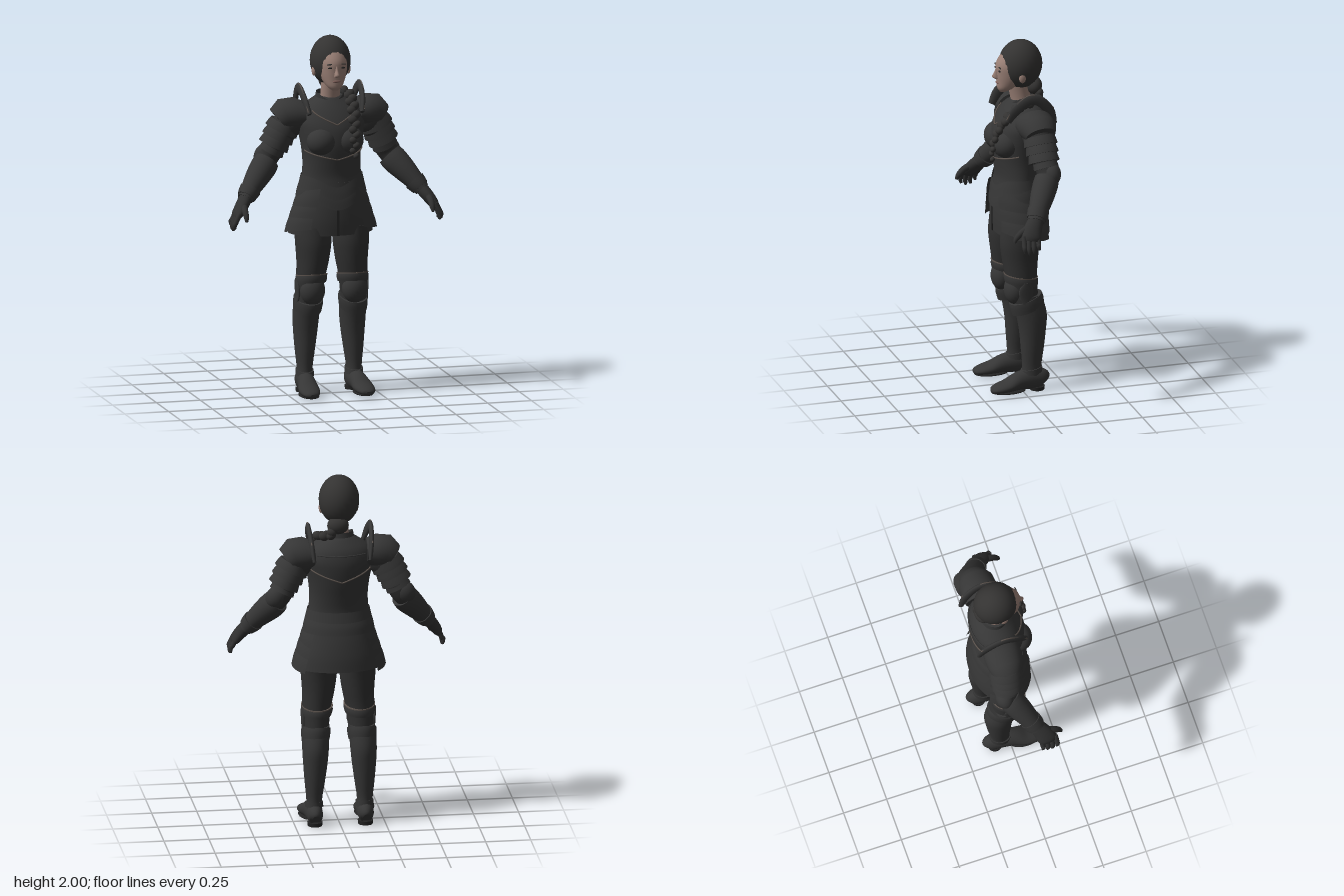
import * as THREE from 'three';

const V3 = (x, y, z) => new THREE.Vector3(x, y, z);
const X = V3(1, 0, 0), Y = V3(0, 1, 0), Z = V3(0, 0, 1);

// Catmull-Rom sampling of rows of numbers
function smoothRows(rows, sub) {
  if (sub < 2) return rows;
  const out = [], at = i => rows[Math.max(0, Math.min(rows.length - 1, i))];
  for (let i = 0; i < rows.length - 1; i++)
    for (let s = 0; s < sub; s++) {
      const t = s / sub;
      out.push(rows[i].map((b, k) => {
        const a = at(i - 1)[k], c = at(i + 1)[k], d = at(i + 2)[k];
        return b + 0.5 * t * (c - a + t * (2 * a - 5 * b + 4 * c - d + t * (3 * (b - c) + d - a)));
      }));
    }
  out.push(rows[rows.length - 1]);
  return out;
}

// Skin of elliptical rings [x, y, z, sideRadius, depthRadius]; angle 0 faces the ref direction
function loft(rows, { sub = 4, seg = 28, flat = false, ref = Z, a0 = 0, a1 = Math.PI * 2, warp = null, caps = true } = {}) {
  const R = smoothRows(rows, sub), full = a1 - a0 > 6.28, cols = full ? seg : seg + 1;
  const pos = [], idx = [], c = R.map(r => V3(r[0], r[1], r[2]));
  R.forEach((r, i) => {
    const T = flat ? Y : c[Math.min(i + 1, R.length - 1)].clone().sub(c[Math.max(i - 1, 0)]).normalize();
    const v = ref.clone().addScaledVector(T, -ref.dot(T)).normalize(), u = T.clone().cross(v);
    for (let j = 0; j < cols; j++) {
      const a = a0 + (a1 - a0) * j / seg;
      const p = c[i].clone().addScaledVector(u, Math.sin(a) * r[3]).addScaledVector(v, Math.cos(a) * r[4]);
      pos.push(p.x, p.y + (warp ? warp(a) : 0), p.z);
    }
  });
  for (let i = 0; i < R.length - 1; i++)
    for (let j = 0; j < seg; j++) {
      const k = (j + 1) % cols, a = i * cols + j, b = i * cols + k;
      idx.push(a, b, a + cols, b, b + cols, a + cols);
    }
  if (full && caps) for (const [row, top] of [[0, false], [R.length - 1, true]]) {
    const n = pos.length / 3;
    pos.push(...c[row].toArray());
    pos.push(...pos.slice(row * cols * 3, (row + 1) * cols * 3));
    for (let j = 0; j < cols; j++) {
      const p = n + 1 + j, q = n + 1 + (j + 1) % cols;
      idx.push(n, top ? p : q, top ? q : p);
    }
  }
  const g = new THREE.BufferGeometry();
  g.setAttribute('position', new THREE.Float32BufferAttribute(pos, 3));
  g.setIndex(idx);
  g.computeVertexNormals();
  return g;
}

const blob = (x, y, z, rx, ry, rz, tilt = 0) =>
  new THREE.SphereGeometry(1, 24, 16).scale(rx, ry, rz).rotateZ(tilt).translate(x, y, z);
const tube = (pts, r, n = 40) => new THREE.TubeGeometry(new THREE.CatmullRomCurve3(pts), n, r, 8);
// Horizontal body ring from height, half width, front z and back z
const body = ([y, w, f, b], grow = 0) => [0, y, (f + b) / 2, w + grow, (f - b) / 2 + grow];

export function createModel() {
  const model = new THREE.Group();
  const mat = (name, color, side = THREE.FrontSide) => {
    const m = new THREE.MeshStandardMaterial({ color, side });
    m.name = name;
    return m;
  };
  const armour = mat('charcoal armour', 0x363636, THREE.DoubleSide);
  const cloth = mat('dark cloth', 0x313131);
  const hair = mat('dark hair', 0x343332);
  const skin = mat('skin', 0x9a8076);
  const lip = mat('lips', 0x80605a);
  const trim = mat('worn trim', 0x5c534d);
  const dark = mat('near black', 0x242424);

  const add = (name, geo, m) => {
    const mesh = new THREE.Mesh(geo, m);
    mesh.name = name;
    model.add(mesh);
  };
  const pair = (name, geo, m) => {
    add(name + 'Left', geo, m);
    const g = geo.clone().scale(-1, 1, 1), ix = g.index.array;
    for (let i = 0; i < ix.length; i += 3) [ix[i], ix[i + 1]] = [ix[i + 1], ix[i]];
    add(name + 'Right', g, m);
  };

  // Head and face
  add('head', loft([[0, 1.712, .066, .018, .02], [0, 1.735, .05, .045, .05], [0, 1.775, .025, .067, .078],
    [0, 1.82, .012, .079, .094], [0, 1.87, 0, .084, .106], [0, 1.92, -.015, .075, .094], [0, 1.96, -.02, .05, .06]], { flat: true }), skin);
  add('nose', loft([[0, 1.79, .1, .017, .014], [0, 1.803, .105, .015, .026], [0, 1.83, .1, .009, .017], [0, 1.855, .098, .007, .01]], { flat: true, seg: 12 }), skin);
  add('mouth', blob(0, 1.766, .1, .022, .007, .007), lip);
  pair('ear', blob(.098, 1.812, -.015, .012, .03, .02), skin);
  pair('eye', blob(.035, 1.842, .098, .014, .005, .005, -.05), dark);
  pair('brow', blob(.036, 1.862, .097, .02, .004, .005, -.08), hair);
  add('neck', loft([[0, 1.6, -.045, .066, .06], [0, 1.66, -.035, .055, .056], [0, 1.76, -.015, .052, .058]], { flat: true }), skin);

  // Hair cap, nape knot and the plait brought over the left shoulder
  add('hairCap', blob(0, 1.862, -.033, .112, .138, .122), hair);
  add('napeKnot', blob(.015, 1.735, -.105, .06, .05, .045), hair);
  const plait = new THREE.CatmullRomCurve3([V3(.02, 1.72, -.125), V3(.07, 1.68, -.12), V3(.105, 1.665, -.06),
    V3(.105, 1.63, .03), V3(.1, 1.55, .105), V3(.09, 1.45, .15), V3(.085, 1.355, .158)]);
  for (let i = 0; i < 20; i++) {
    const p = plait.getPointAt(i / 19), s = 1 - .4 * Math.max(0, i - 12) / 7, k = i % 2 ? 1 : -1;
    add('plaitStrand', blob(p.x + k * .01, p.y, p.z, .028 * s, .024 * s, .022 * s, k * .6), hair);
  }

  // Cuirass
  const torso = [[1.08, .18, .12, -.145], [1.18, .173, .112, -.13], [1.24, .165, .108, -.125], [1.32, .162, .118, -.14],
    [1.4, .17, .13, -.16], [1.48, .185, .125, -.175], [1.54, .195, .105, -.178], [1.6, .165, .07, -.165], [1.65, .095, .03, -.13], [1.665, .07, .015, -.11]];
  add('cuirass', loft(torso.map(r => body(r)), { flat: true, seg: 40 }), armour);
  pair('breastPlate', blob(.075, 1.43, .07, .085, .08, .08), armour);
  add('collar', loft([[0, 1.59, -.045, .12, .105], [0, 1.64, -.045, .088, .078], [0, 1.69, -.04, .076, .072]],
    { flat: true, caps: false, warp: a => -.05 * Math.exp(-2.5 * (1 - Math.cos(a))) }), armour);

  // Raised seams that follow the cuirass
  const fine = smoothRows(torso, 6);
  const onTorso = (a, y) => {
    const i = Math.max(1, fine.findIndex(r => r[0] >= y)), p = fine[i - 1], q = fine[i];
    const t = (y - p[0]) / (q[0] - p[0]), r = body(p.map((v, k) => v + (q[k] - v) * t), .003);
    return V3(Math.sin(a) * r[3], y, r[2] + Math.cos(a) * r[4]);
  };
  const seam = (name, a0, a1, yOf, m) => add(name, tube(Array.from({ length: 17 }, (_, i) => {
    const a = a0 + (a1 - a0) * i / 16;
    return onTorso(a, yOf(a));
  }), .004), m);
  seam('neckSeam', -.8, .8, a => 1.525 + .09 * Math.abs(a), trim);
  seam('underBustSeam', -1.3, 1.3, a => 1.33 + .035 * Math.abs(a), trim);
  seam('backSeam', Math.PI - 1.2, Math.PI + 1.2, a => 1.42 + .06 * Math.abs(a - Math.PI), trim);
  seam('upperBackSeam', Math.PI - .8, Math.PI + .8, a => 1.575, armour);

  // Skirt, pointed belts and layered hip plates
  const skirt = [[.905, .238, .125, -.184], [.98, .228, .13, -.18], [1.06, .206, .128, -.167], [1.13, .188, .12, -.15], [1.2, .174, .112, -.132]];
  add('skirt', loft(skirt.map(r => body(r)), { flat: true, seg: 40 }), armour);
  add('skirtSlit', new THREE.BoxGeometry(.012, .16, .006).translate(0, .985, .13), dark);
  const point = a => -.06 * Math.exp(-6 * (1 - Math.cos(a)));
  add('upperBelt', loft([[1.165, .188, .132, -.148], [1.2, .18, .126, -.14], [1.235, .172, .118, -.132]].map(r => body(r)),
    { flat: true, seg: 48, warp: point, caps: false }), armour);
  add('lowerBelt', loft([[1.11, .2, .138, -.163], [1.15, .193, .132, -.155], [1.185, .183, .124, -.142]].map(r => body(r)),
    { flat: true, seg: 48, warp: point, caps: false }), armour);
  for (let k = 0; k < 3; k++) {
    const y = .925 + k * .062, g = .024 - k * .002, w = .236 - k * .018;
    pair('hipPlate' + k, loft([[y, w, .132, -.178 + k * .006], [y + .05, w - .012, .13, -.172 + k * .006], [y + .1, w - .032, .122, -.162 + k * .006]].map(r => body(r, g)),
      { flat: true, a0: .62 - k * .04, a1: 2.25, warp: a => .035 * Math.cos(a) - .012 * Math.sin(a) }), armour);
  }

  // Shoulder plates and upright neck guards
  pair('shoulderPlate', loft([[.15, 1.565, -.055, .07, .1], [.2, 1.565, -.058, .092, .105], [.255, 1.56, -.06, .094, .1], [.285, 1.535, -.062, .075, .085]], { sub: 1 }), armour);
  pair('neckGuard', loft([[.15, 1.585, .085, .02, .012], [.163, 1.65, .045, .03, .014], [.172, 1.705, -.03, .03, .013],
    [.172, 1.695, -.09, .03, .013], [.165, 1.63, -.15, .028, .013], [.155, 1.55, -.18, .015, .01]], { ref: X, seg: 14 }), armour);
  pair('guardEdge', tube([V3(.16, 1.6, .095), V3(.168, 1.672, .055), V3(.174, 1.733, -.03), V3(.174, 1.72, -.095), V3(.168, 1.645, -.172)], .004), trim);

  // Arms with overlapping lames, elbow guards and gauntlets
  pair('upperArm', loft([[.19, 1.56, -.055, .07, .08], [.23, 1.52, -.058, .085, .085], [.275, 1.45, -.065, .074, .076], [.335, 1.335, -.085, .06, .06], [.37, 1.29, -.07, .058, .058]]), cloth);
  for (let k = 0; k < 3; k++) {
    const x = .25 + k * .021, y = 1.515 - k * .042, r = .092 - k * .004;
    pair('armLame' + k, loft([[x, y, -.062 - k * .003, r - .008, r - .006], [x + .014, y - .026, -.064 - k * .003, r, r], [x + .022, y - .042, -.065 - k * .003, r + .003, r + .003]], { sub: 2 }), armour);
  }
  pair('elbowGuard', blob(.355, 1.335, -.1, .058, .068, .052, .6), armour);
  pair('elbowBand', loft([[.31, 1.385, -.076, .066, .066], [.325, 1.355, -.08, .072, .07]], { sub: 1 }), armour);
  pair('forearm', loft([[.35, 1.305, -.075, .07, .066], [.375, 1.275, -.058, .074, .07], [.42, 1.225, -.025, .066, .065], [.465, 1.172, .008, .054, .055], [.505, 1.122, .036, .042, .048]]), armour);
  pair('wristCuff', loft([[.468, 1.168, .01, .06, .06], [.485, 1.147, .022, .055, .058], [.497, 1.132, .03, .05, .054]], { sub: 1 }), armour);
  pair('palm', loft([[.5, 1.13, .033, .036, .042], [.53, 1.09, .06, .034, .05], [.558, 1.05, .078, .028, .054], [.57, 1.03, .083, .018, .045]]), cloth);
  for (let i = 0; i < 4; i++) {
    const z = .122 - i * .027, d = [.012, 0, .004, .022][i];
    pair('finger' + i, loft([[.558, 1.06, z, .014, .014], [.58, 1.015, z + .004, .014, .014], [.588, .985 + d, z + .004, .013, .013], [.588, .962 + d, z, .008, .008]], { seg: 10 }), cloth);
  }
  pair('thumb', loft([[.525, 1.1, .075, .02, .02], [.53, 1.075, .125, .018, .018], [.53, 1.045, .155, .015, .015], [.532, 1.02, .168, .008, .008]], { seg: 12, ref: X }), cloth);

  // Legs, knee guards and greaves
  pair('thigh', loft([[.125, .56, -.01, .072, .082], [.12, .66, 0, .08, .088], [.11, .76, .004, .09, .1], [.107, .86, .003, .1, .112], [.107, .95, -.01, .1, .118]], { flat: true }), cloth);
  pair('greave', loft([[.14, .09, -.055, .044, .055], [.14, .15, -.055, .044, .054], [.138, .24, -.058, .055, .064], [.135, .34, -.06, .066, .074],
    [.133, .43, -.056, .073, .085], [.13, .5, -.04, .074, .088], [.126, .56, -.018, .075, .088]], { flat: true }), armour);
  pair('kneeGuard', blob(.12, .59, .035, .07, .085, .062), armour);
  pair('upperKneeBand', loft([[.12, .625, 0, .083, .092], [.118, .65, .001, .088, .096], [.117, .672, .002, .084, .092]], { flat: true, sub: 2, warp: a => .015 * Math.cos(a) }), armour);
  pair('lowerKneeBand', loft([[.13, .475, -.035, .076, .09], [.128, .515, -.028, .081, .094], [.127, .54, -.022, .08, .09]], { flat: true, sub: 2, warp: a => -.03 * Math.cos(a) }), armour);
  pair('kneeWing', loft([[.198, .52, .0, .007, .012], [.194, .555, -.005, .01, .035], [.197, .61, -.005, .01, .04], [.203, .65, -.005, .005, .015]], { flat: true, seg: 12 }), armour);
  pair('kneeTrim', loft([[.117, .668, .002, .087, .095], [.117, .674, .002, .087, .095]], { flat: true, sub: 1, warp: a => .015 * Math.cos(a) }), trim);
  pair('ankleCuff', loft([[.14, .1, -.052, .05, .062], [.14, .13, -.053, .049, .06]], { flat: true, sub: 1, warp: a => -.01 * Math.cos(a) }), armour);

  // Boots
  pair('boot', loft([[.14, .05, -.135, .02, .03], [.14, .062, -.115, .04, .054], [.142, .068, -.05, .047, .06], [.147, .062, .02, .05, .052],
    [.154, .044, .085, .058, .036], [.158, .034, .14, .052, .027], [.16, .028, .175, .035, .018], [.16, .026, .187, .012, .008]], { ref: Y }), armour);
  pair('heel', new THREE.CylinderGeometry(.043, .04, .022, 20).translate(.14, .011, -.085), dark);
  pair('sole', blob(.155, .012, .085, .054, .012, .098), dark);
  return model;
}
